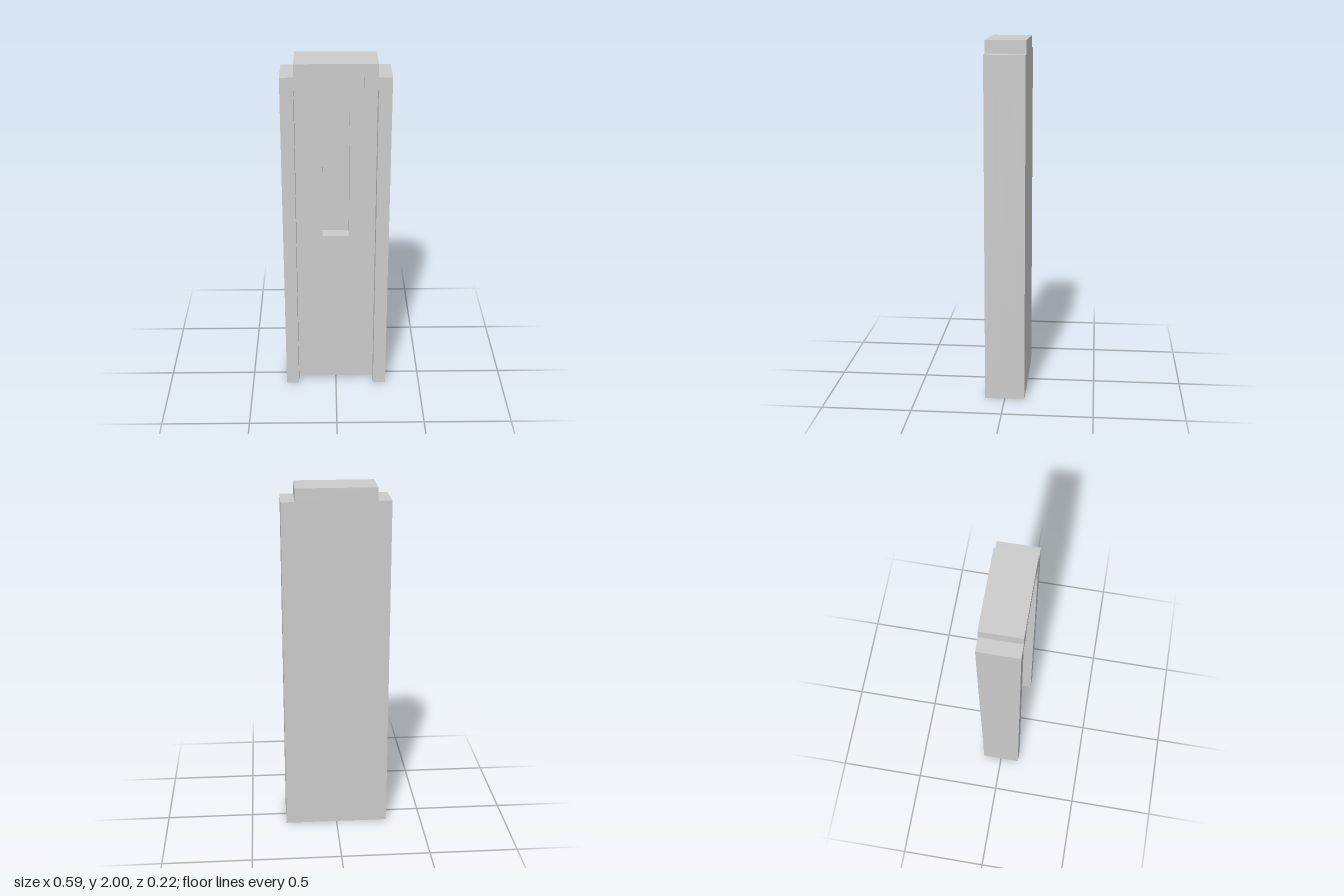
import * as THREE from 'three';

const LAYER = 0.0743; // thickness of each of the three layers
const material = new THREE.MeshStandardMaterial({ color: 0xcccccc, flatShading: true });

// Right half of a stepped arch, from the ground up
const steppedHalf = (outer, inner, shoulder, top) => [
  [outer, 0], [outer, shoulder], [inner, shoulder], [inner, top],
];

// Full stepped arch running from the right foot over the top to the left foot
function steppedArch(...size) {
  const half = steppedHalf(...size);
  const mirrored = half.map(([x, y]) => [-x, y]).reverse();
  return [...half, ...mirrored].map(([x, y]) => new THREE.Vector2(x, y));
}

function addLayer(group, name, shape, index) {
  const geometry = new THREE.ExtrudeGeometry(shape, { depth: LAYER, bevelEnabled: false });
  geometry.translate(0, 0, (index - 1.5) * LAYER);
  const mesh = new THREE.Mesh(geometry, material);
  mesh.name = name;
  group.add(mesh);
}

export function createModel() {
  const group = new THREE.Group();
  group.name = 'doorPanel';

  const outline = steppedArch(0.297, 0.222, 1.928, 2);
  const opening = steppedArch(0.224, 0.149, 1.856, 1.93);

  // Solid back
  addLayer(group, 'backPanel', new THREE.Shape(outline), 0);

  // Door leaf with a sunken window
  const leaf = new THREE.Shape(outline);
  const [w, low, high] = [0.075, 0.963, 1.708];
  leaf.holes.push(new THREE.Path([
    new THREE.Vector2(-w, low), new THREE.Vector2(-w, high),
    new THREE.Vector2(w, high), new THREE.Vector2(w, low),
  ]));
  addLayer(group, 'doorLeaf', leaf, 1);

  // Raised frame, open at the foot
  addLayer(group, 'doorFrame', new THREE.Shape([...outline, ...opening.reverse()]), 2);

  return group;
}
